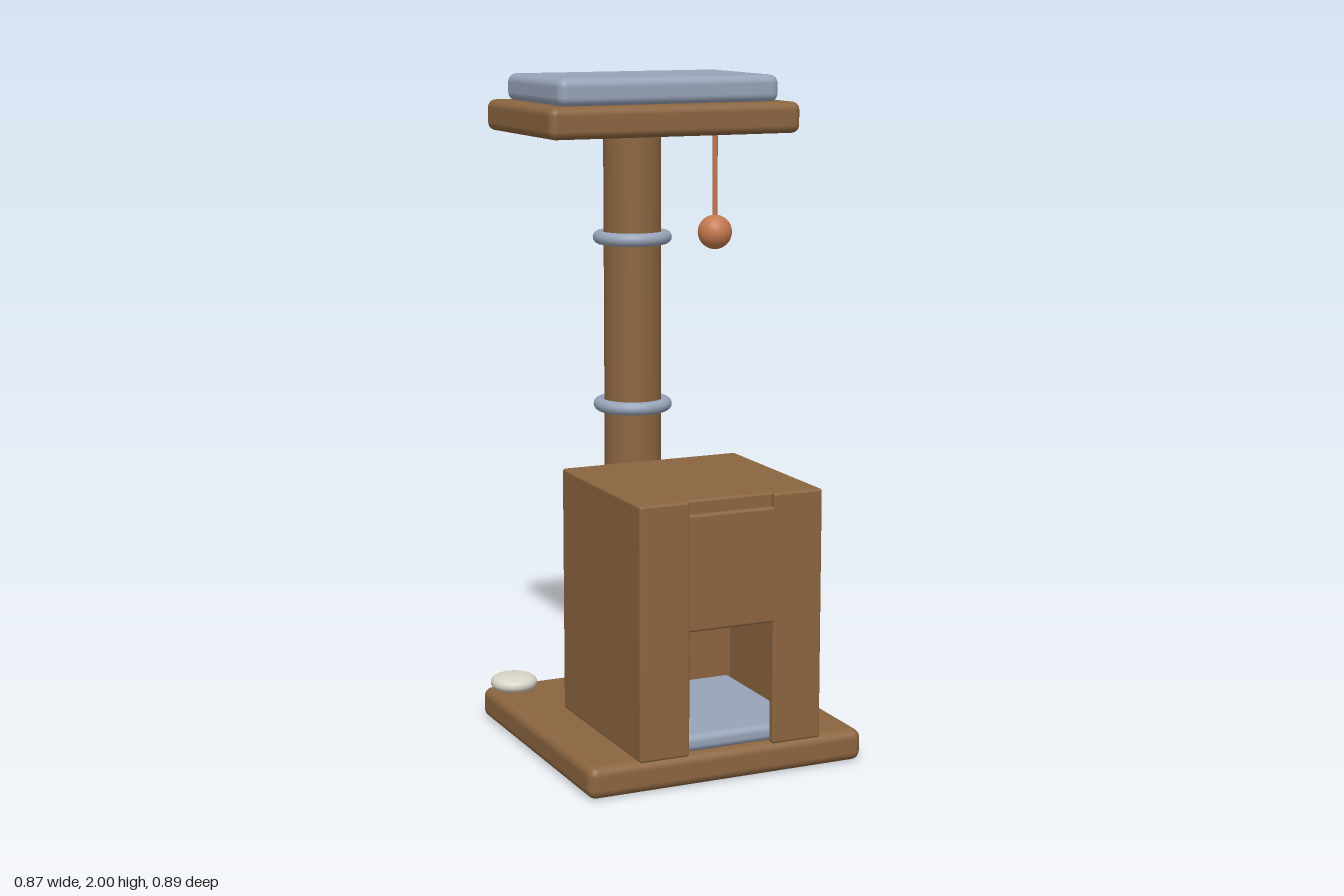
import * as THREE from 'three';
import { RoundedBoxGeometry } from 'three/addons/geometries/RoundedBoxGeometry.js';

const mat = (color) => new THREE.MeshStandardMaterial({ color });

export function createModel() {
  const root = new THREE.Group();
  const wood = mat(0x8b6540);
  const fabric = mat(0x97a3b8);
  const orange = mat(0xc4784e);
  const ivory = mat(0xd8d3c6);

  const add = (name, geometry, material, x, y, z, parent = root) => {
    const mesh = new THREE.Mesh(geometry, material);
    mesh.name = name;
    mesh.position.set(x, y, z);
    parent.add(mesh);
    return mesh;
  };
  // Rounded box given by its extents on each axis
  const slab = (name, [x0, x1], [y0, y1], [z0, z1], radius, material, parent) =>
    add(name, new RoundedBoxGeometry(x1 - x0, y1 - y0, z1 - z0, 4, radius), material,
      (x0 + x1) / 2, (y0 + y1) / 2, (z0 + z1) / 2, parent);

  // Base board
  slab('base', [-0.437, 0.437], [0, 0.095], [-0.443, 0.432], 0.028, wood);

  // Hollow house: side, back and roof panels, then a front with a doorway
  const house = new THREE.Group();
  house.name = 'house';
  root.add(house);
  const r = 0.008, bottom = 0.095, top = 0.84;
  for (const s of [-1, 1]) {
    const span = (a, b) => (s > 0 ? [a, b] : [-b, -a]);
    slab('houseSide', span(0.262, 0.287), [bottom, top], [-0.13, 0.43], r, wood, house);
    slab('doorJamb', span(0.132, 0.287), [bottom, top], [0.417, 0.443], r, wood, house);
  }
  slab('houseBack', [-0.287, 0.287], [bottom, top], [-0.13, -0.105], r, wood, house);
  slab('houseRoof', [-0.287, 0.287], [0.815, top], [-0.13, 0.425], r, wood, house);
  slab('doorLintel', [-0.14, 0.14], [0.46, 0.8], [0.417, 0.441], r, wood, house);
  slab('roofEdge', [-0.14, 0.14], [0.79, 0.838], [0.39, 0.425], r, wood, house);
  slab('houseCushion', [-0.255, 0.255], [0.095, 0.145], [-0.1, 0.415], 0.02, fabric, house);

  // Scratching post with fabric rings
  const postZ = -0.257;
  add('post', new THREE.CylinderGeometry(0.087, 0.087, 1.75, 48), wood, 0, 0.965, postZ);
  for (const y of [0.485, 0.995, 1.508]) {
    add('postRing', new THREE.TorusGeometry(0.1, 0.02, 16, 48), fabric, 0, y, postZ).rotation.x = Math.PI / 2;
  }

  // Top perch and its cushion
  slab('perch', [-0.398, 0.398], [1.83, 1.922], [-0.443, 0.082], 0.024, wood);
  slab('perchCushion', [-0.35, 0.35], [1.92, 2], [-0.398, 0.034], 0.025, fabric);

  // Hanging ball toy
  add('toyCord', new THREE.CylinderGeometry(0.008, 0.008, 0.3, 12), orange, 0.285, 1.69, -0.272);
  add('toyBall', new THREE.SphereGeometry(0.053, 32, 24), orange, 0.285, 1.508, -0.272);

  // Small dish-shaped toy on the base: flattened profile, rounded rim
  const profile = [];
  for (let i = 0; i <= 24; i++) {
    const a = -Math.PI / 2 + (i / 24) * Math.PI;
    profile.push(new THREE.Vector2(
      0.072 * Math.pow(Math.max(0, Math.cos(a)), 0.75),
      0.026 * Math.sign(Math.sin(a)) * Math.pow(Math.abs(Math.sin(a)), 0.85)));
  }
  add('floorToy', new THREE.LatheGeometry(profile, 40), ivory, -0.36, 0.122, -0.365);

  return root;
}
